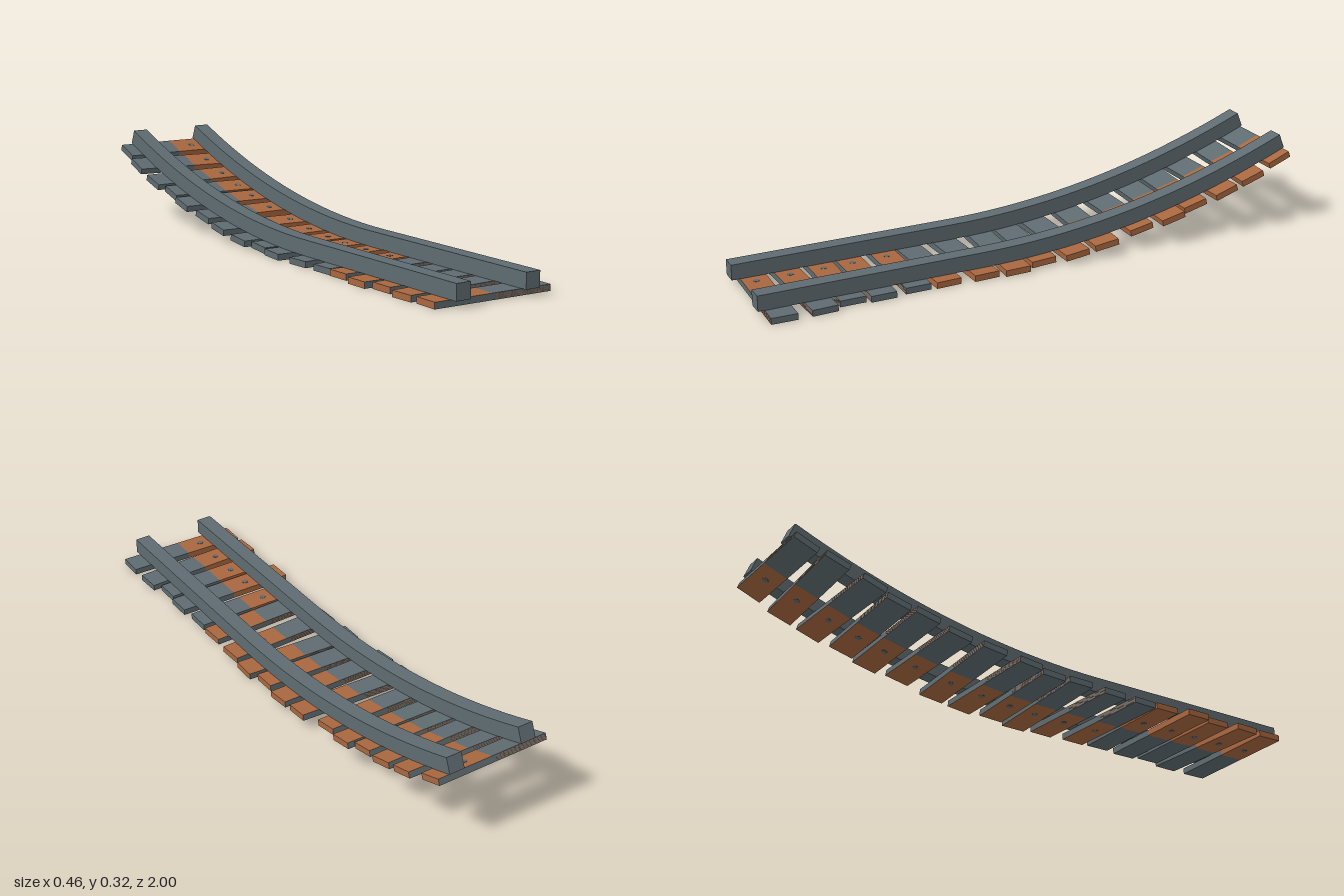
import * as THREE from 'three';

const FLAT_Y = 0.023, BEND_Z = 0.2, BEND = 0.168;
const RAIL_W = 0.056, RAIL_H = 0.055, TIE_W = 0.09, TIE_H = 0.022;

// height and slope of the underside of the rails
const bend = z => Math.max(0, BEND_Z - z);
const railY = z => FLAT_Y + BEND * bend(z) ** 2;
const slope = z => Math.atan(2 * BEND * bend(z));

// each tie: z, left end of x range, right end of x range, z skew from -x end to +x end, turned round
const TIES = [
  [-0.953, -0.21, 0.204, 0, 0], [-0.84, -0.226, 0.222, 0.02, 0], [-0.72, -0.23, 0.222, -0.006, 0],
  [-0.61, -0.21, 0.208, 0.015, 0], [-0.51, -0.224, 0.225, 0.012, 0], [-0.387, -0.212, 0.205, 0, 0],
  [-0.25, -0.225, 0.224, 0.022, 0], [-0.123, -0.228, 0.225, -0.004, 0], [-0.01, -0.21, 0.206, 0.012, 0],
  [0.093, -0.222, 0.225, 0.018, 0], [0.222, -0.215, 0.213, -0.018, 0], [0.358, -0.21, 0.208, -0.015, 0],
  [0.46, -0.212, 0.204, 0, 1], [0.586, -0.231, 0.214, 0, 1], [0.69, -0.21, 0.203, 0, 1],
  [0.804, -0.226, 0.229, -0.018, 1], [0.928, -0.22, 0.23, 0.01, 1],
];

export function createModel() {
  const model = new THREE.Group();
  const steel = new THREE.MeshStandardMaterial({ color: 0x5e6b70 });
  steel.name = 'grey steel';
  const rust = new THREE.MeshStandardMaterial({ color: 0xa8673f });
  rust.name = 'rust orange';

  const add = (parent, name, geometry, material, x = 0, y = 0, z = 0) => {
    const mesh = new THREE.Mesh(geometry, material);
    mesh.name = name;
    mesh.position.set(x, y, z);
    parent.add(mesh);
    return mesh;
  };

  // rails: side profile swept along the bend, then extruded across
  const lower = [], upper = [];
  for (let i = 0; i <= 20; i++) {
    const z = i === 0 ? 1 : BEND_Z - (i - 1) / 19 * (1 + BEND_Z);
    const a = slope(z);
    lower.push(new THREE.Vector2(z, railY(z)));
    upper.push(new THREE.Vector2(z + Math.sin(a) * RAIL_H, railY(z) + Math.cos(a) * RAIL_H));
  }
  const railGeometry = new THREE.ExtrudeGeometry(
    new THREE.Shape([...lower, ...upper.reverse()]), { depth: RAIL_W, bevelEnabled: false });
  railGeometry.rotateY(-Math.PI / 2).translate(RAIL_W / 2, 0, 0);
  add(model, 'leftRail', railGeometry, steel, 0.137);
  add(model, 'rightRail', railGeometry, steel, -0.137);

  // ties: two-tone planks hanging under the rails
  const boltGeometry = new THREE.CylinderGeometry(0.011, 0.011, TIE_H + 0.002, 10);
  TIES.forEach(([z, xMin, xMax, skew, turned], i) => {
    const tie = new THREE.Group();
    tie.name = `tie${i + 1}`;
    const a = slope(z);
    tie.position.set(0, railY(z) - Math.cos(a) * (TIE_H / 2 + 0.001), z - Math.sin(a) * TIE_H / 2);
    tie.rotation.set(a, -skew / (xMax - xMin), 0);
    model.add(tie);

    const plank = new THREE.Group();
    plank.name = 'plank';
    plank.rotation.y = turned ? Math.PI : 0;
    tie.add(plank);
    const steelLen = turned ? xMax : -xMin;
    const rustLen = turned ? -xMin : xMax;
    add(plank, 'steelHalf', new THREE.BoxGeometry(steelLen, TIE_H, TIE_W), steel, -steelLen / 2);
    add(plank, 'rustHalf', new THREE.BoxGeometry(rustLen, TIE_H, TIE_W),
      [rust, rust, rust, rust, rust, steel], rustLen / 2);
    add(plank, 'bolt', boltGeometry, steel, 0.075);

    // thin rust lines along the rear edge of the steel half
    for (const y of [-0.006, 0, 0.006]) {
      add(plank, 'rustLine', new THREE.BoxGeometry(steelLen - 0.015, 0.0018, 0.001), rust,
        -(steelLen + 0.015) / 2, y, -TIE_W / 2);
    }
  });
  return model;
}
